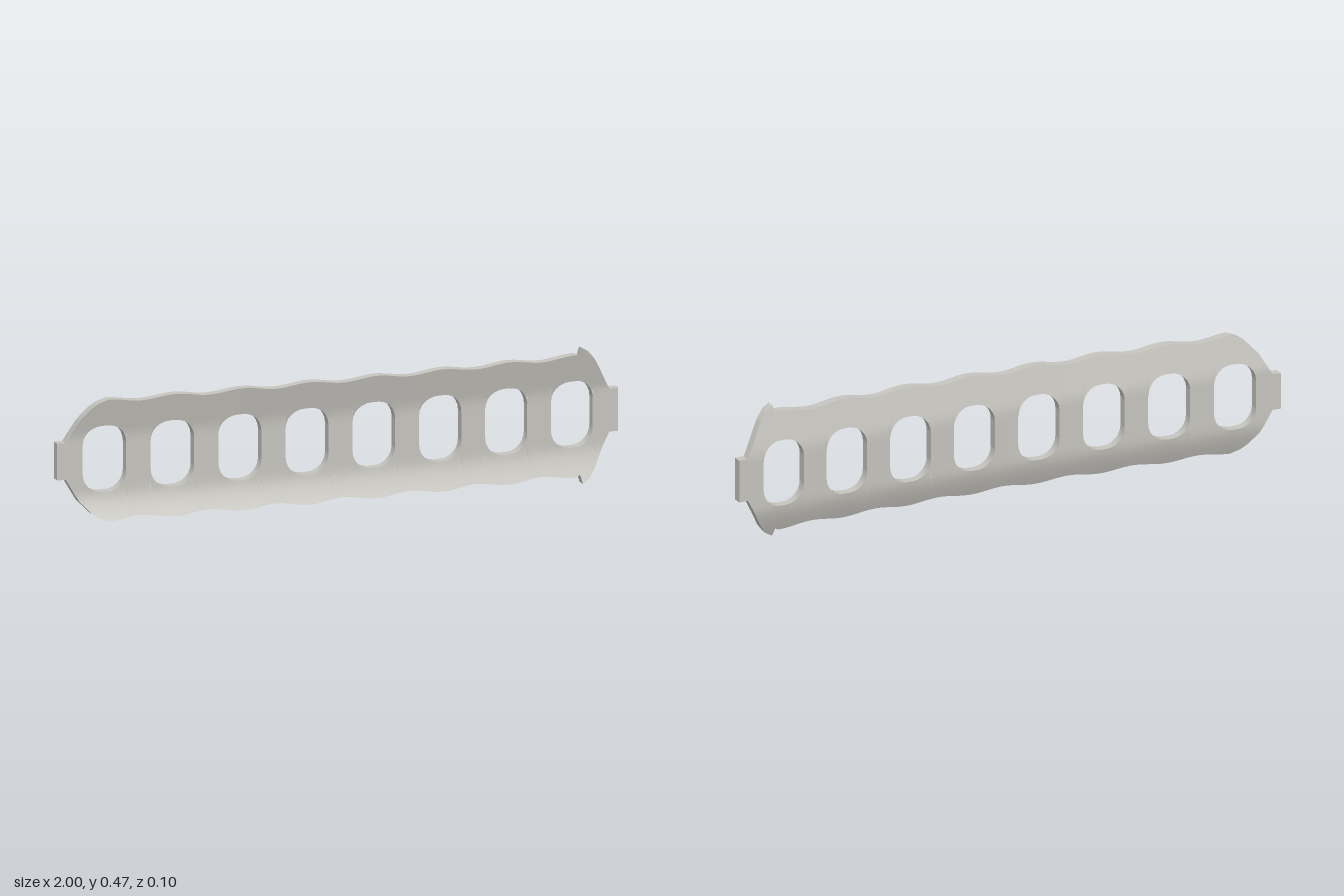
import * as THREE from 'three';
import { toCreasedNormals } from 'three/addons/utils/BufferGeometryUtils.js';

const MID = 0.2335, THICK = 0.033;
const HOLES = 8, PITCH = 0.238, FIRST = -0.835;
const HALF_W = 0.076, HOLE_LO = 0.119, HOLE_HI = 0.349, R = 0.065;

// End outlines as [x, top height]
const leftEnd = [[-1, 0.297], [-0.97, 0.297], [-0.925, 0.375], [-0.885, 0.418], [-0.865, 0.432], [-0.83, 0.445]];
const rightEnd = [[0.838, 0.444], [0.85, 0.438], [0.856, 0.467], [0.88, 0.453], [0.905, 0.423], [0.925, 0.388], [0.967, 0.308], [1, 0.308]];

function lookUp(points, x) {
  for (let i = 1; i < points.length; i++) {
    const [x0, y0] = points[i - 1], [x1, y1] = points[i];
    if (x <= x1) return y0 + (y1 - y0) * (x - x0) / (x1 - x0);
  }
  return points[points.length - 1][1];
}

// Scalloped upper edge; the lower edge mirrors it
function top(x) {
  if (x < -0.83) return lookUp(leftEnd, x);
  if (x > 0.838) return lookUp(rightEnd, x);
  return 0.4385 + 0.0065 * Math.cos(2 * Math.PI * (x - FIRST) / PITCH);
}
const bottom = x => 2 * MID - top(x);

// Front surface: flat middle, rims bent forward, ends swept back
function frontZ(x, y) {
  const up = Math.max(0, (y - 0.315) / 0.13), down = Math.max(0, (0.118 - y) / 0.096);
  return 0.0185 + 0.031 * (up + Math.pow(down, 1.35)) - 0.032 * x * x;
}

function quad(out, a, b, c, d) {
  out.push(...a, ...b, ...c, ...a, ...c, ...d);
}

// Solid strip between two height curves over a list of x stations
function strip(out, xs, lo, hi, rows) {
  const point = (x, t, back) => {
    const y = lo(x) + (hi(x) - lo(x)) * t;
    return [x, y, frontZ(x, y) - (back ? THICK : 0)];
  };
  for (let i = 0; i + 1 < xs.length; i++) {
    const a = xs[i], b = xs[i + 1];
    for (let j = 0; j < rows; j++) {
      const s = j / rows, t = (j + 1) / rows;
      quad(out, point(a, s), point(b, s), point(b, t), point(a, t));
      quad(out, point(b, s, true), point(a, s, true), point(a, t, true), point(b, t, true));
    }
    quad(out, point(a, 1), point(b, 1), point(b, 1, true), point(a, 1, true));
    quad(out, point(a, 0, true), point(b, 0, true), point(b, 0), point(a, 0));
  }
}

// Upright end wall, facing +x or -x
function wall(out, x, lo, hi, facing) {
  const p = (y, back) => [x, y, frontZ(x, y) - (back ? THICK : 0)];
  if (facing > 0) quad(out, p(lo), p(lo, true), p(hi, true), p(hi));
  else quad(out, p(lo, true), p(lo), p(hi), p(hi, true));
}

// Even steps from a to b, plus the outline corners that fall between
const corners = [...leftEnd, ...rightEnd].map(p => p[0]);
function stations(a, b, steps) {
  const xs = corners.filter(x => x > a + 1e-4 && x < b - 1e-4);
  for (let i = 0; i <= steps; i++) xs.push(a + (b - a) * i / steps);
  return xs.sort((p, q) => p - q);
}

function makeMesh(positions, material, name) {
  const geometry = new THREE.BufferGeometry();
  geometry.setAttribute('position', new THREE.Float32BufferAttribute(positions, 3));
  const mesh = new THREE.Mesh(toCreasedNormals(geometry, 0.45), material);
  mesh.name = name;
  return mesh;
}

export function createModel() {
  const group = new THREE.Group();
  group.name = 'perforatedPlate';
  const grey = new THREE.MeshStandardMaterial({ color: 0xc6c4be });
  grey.name = 'warmGrey';
  const rims = [], bars = [], tabs = [];

  // Rims above and below each rounded window
  for (let i = 0; i < HOLES; i++) {
    const c = FIRST + i * PITCH;
    const corner = x => {
      const d = Math.max(0, Math.abs(x - c) - (HALF_W - R));
      return R - Math.sqrt(Math.max(0, R * R - d * d));
    };
    // Stations crowd towards the window sides to round the corners
    const xs = stations(c - HALF_W, c + HALF_W, 1);
    for (let k = 0; k < 6; k++) {
      const d = HALF_W - R + R * Math.sin(k / 6 * Math.PI / 2);
      xs.push(c - d, c + d);
    }
    xs.sort((p, q) => p - q);
    strip(rims, xs, bottom, x => HOLE_LO + corner(x), 6);
    strip(rims, xs, x => HOLE_HI - corner(x), top, 6);
  }

  // Bars between windows, and the tapered ends
  for (let i = 0; i <= HOLES; i++) {
    const a = i === 0 ? -0.97 : FIRST + (i - 1) * PITCH + HALF_W;
    const b = i === HOLES ? 0.967 : FIRST + i * PITCH - HALF_W;
    strip(bars, stations(a, b, 6), bottom, top, 18);
    if (i > 0) wall(bars, a, HOLE_LO + R, HOLE_HI - R, -1);
    if (i < HOLES) wall(bars, b, HOLE_LO + R, HOLE_HI - R, 1);
  }

  // Square end tabs
  strip(tabs, [-1, -0.97], bottom, top, 4);
  strip(tabs, [0.967, 1], bottom, top, 4);
  wall(tabs, -1, bottom(-1), top(-1), -1);
  wall(tabs, 1, bottom(1), top(1), 1);

  group.add(
    makeMesh(rims, grey, 'windowRims'),
    makeMesh(bars, grey, 'crossBars'),
    makeMesh(tabs, grey, 'endTabs')
  );
  return group;
}
